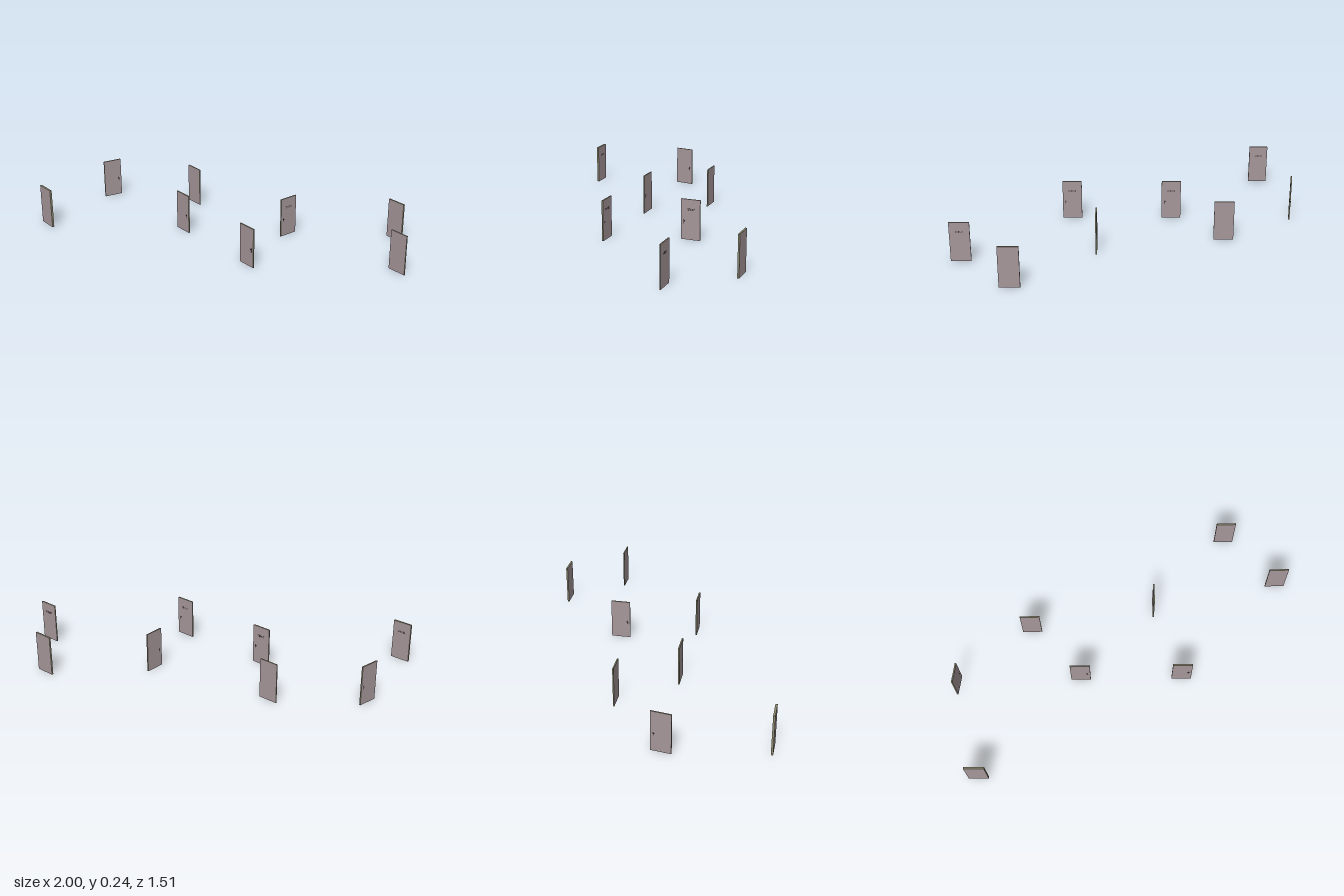
import * as THREE from 'three';

const W = 0.116, H = 0.24;

export function createModel() {
  const panelMat = new THREE.MeshStandardMaterial({ color: 0xa6979a });
  panelMat.name = 'mauve panel';
  const edgeMat = new THREE.MeshStandardMaterial({ color: 0x8a866a });
  edgeMat.name = 'olive edge';
  const darkMat = new THREE.MeshStandardMaterial({ color: 0x2a2627 });
  darkMat.name = 'dark fittings';

  const addBox = (parent, name, size, pos, mat) => {
    const mesh = new THREE.Mesh(new THREE.BoxGeometry(...size), mat);
    mesh.name = name;
    mesh.position.set(...pos);
    parent.add(mesh);
  };

  // One door: handle is the side it sits on (+1, -1 or 0), marks the face with vent slots
  function makeDoor({ x, z, turn = 0, depth = 0.008, handle = 0, marks = 0 }) {
    const door = new THREE.Group();
    door.name = 'door';
    door.position.set(x, 0, z);
    door.rotation.y = turn;

    addBox(door, 'doorPanel', [W, H, depth], [0, H / 2, 0],
      [edgeMat, edgeMat, edgeMat, edgeMat, panelMat, panelMat]);

    // Latch plate and knob, on both faces
    if (handle) {
      for (const side of [1, -1]) {
        const hz = side * (depth / 2 + 0.0005);
        addBox(door, 'latchPlate', [0.003, 0.022, 0.001], [handle * 0.041, 0.105, hz], darkMat);
        addBox(door, 'latchKnob', [0.004, 0.005, 0.002], [handle * 0.036, 0.108, hz], darkMat);
      }
    }
    // Two rows of small vent slots
    if (marks) {
      for (const y of [0.177, 0.184]) {
        for (let i = 0; i < 6; i++) {
          addBox(door, 'ventSlot', [0.0045, 0.003, 0.001],
            [-0.02 + i * 0.008, y, marks * (depth / 2 + 0.0005)], darkMat);
        }
      }
    }
    return door;
  }

  const model = new THREE.Group();
  model.name = 'doors';
  const doors = [
    { x: -0.85, z: 0.75, depth: 0.012, marks: -1 },
    { x: -0.553, z: -0.158, depth: 0.007 },
    { x: -0.256, z: 0.153, handle: 1, marks: -1 },
    { x: 0.345, z: 0.153, handle: 1, marks: -1 },
    { x: 0.638, z: -0.752, depth: 0.01 },
    { x: 0.942, z: -0.443, depth: 0.007, marks: -1 },
    { x: 0.186, z: -0.3, turn: Math.PI / 2, handle: -1, marks: 1 },
    { x: -0.986, z: 0.183, turn: 1.42, handle: 1 },
  ];
  for (const d of doors) model.add(makeDoor(d));
  return model;
}
